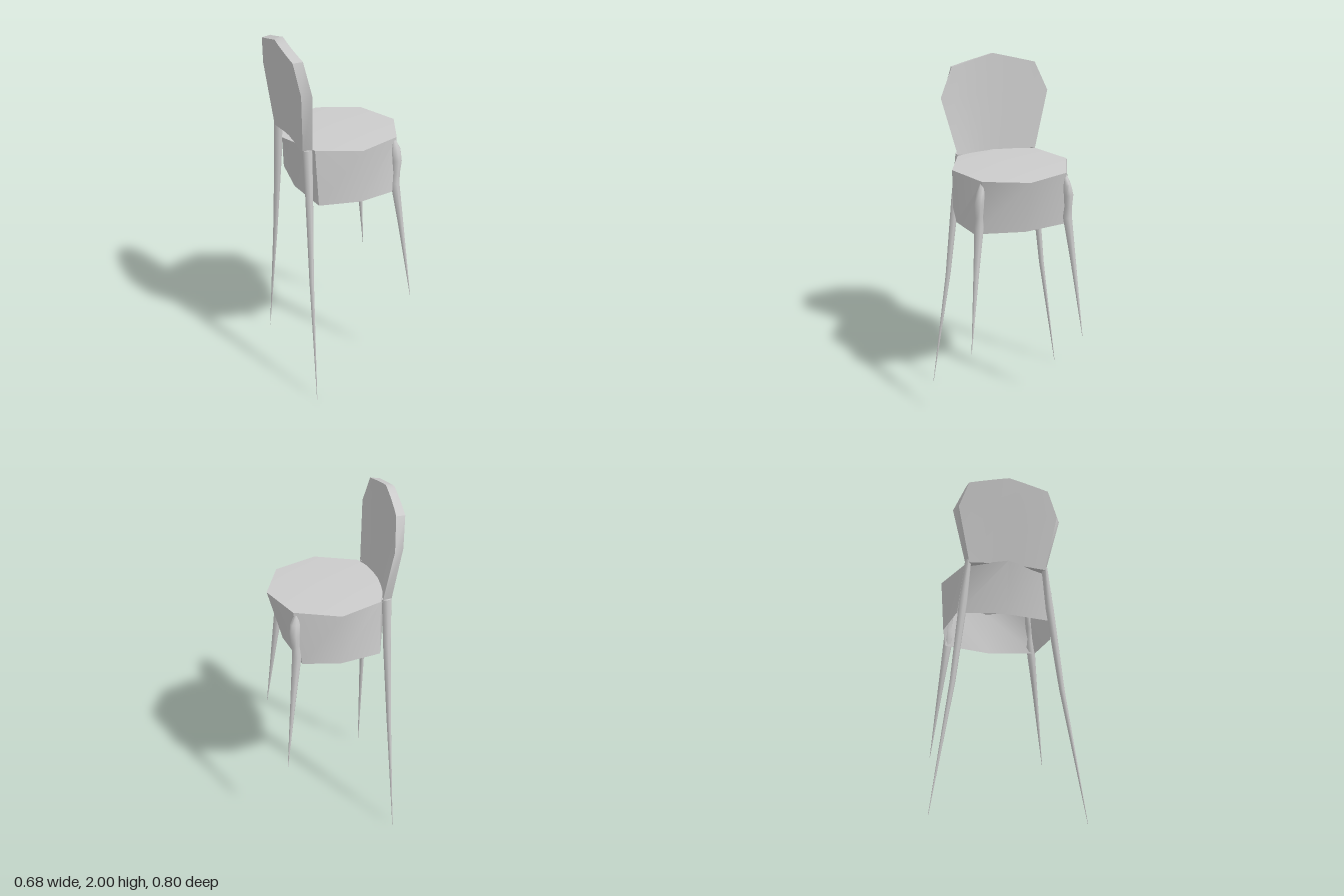
import * as THREE from 'three';
import { toCreasedNormals } from 'three/addons/utils/BufferGeometryUtils.js';

// Skin a stack of equal-sized rings, listed from bottom to top
function loft(rings, capped, crease) {
  const m = rings[0].length, index = [];
  for (let j = 0; j < rings.length - 1; j++) {
    for (let i = 0; i < m; i++) {
      const a = j * m + i, b = j * m + (i + 1) % m;
      index.push(a, a + m, b, b, a + m, b + m);
    }
  }
  if (capped) {
    // Close each end with a strip between opposite ring points
    const top = (rings.length - 1) * m;
    for (let i = 0; i < m / 2 - 1; i++) {
      const a = i, b = i + 1, c = m - 2 - i, d = m - 1 - i;
      index.push(a, b, c, a, c, d);
      index.push(top + a, top + c, top + b, top + a, top + d, top + c);
    }
  }
  const geometry = new THREE.BufferGeometry();
  geometry.setAttribute('position', new THREE.Float32BufferAttribute(rings.flat(2), 3));
  geometry.setIndex(index);
  return toCreasedNormals(geometry, crease);
}

// Round ring, used for the legs
function circle([x, y, z, rx, rz], side) {
  return Array.from({ length: 8 }, (_, i) => {
    const a = (i / 8) * Math.PI * 2;
    return [x + rx * Math.cos(a), y, side * z + rz * Math.sin(a)];
  });
}

// Octagon with separate radii for its ends, sides and diagonals
function octagon(y, back, front, side, diagBack, diagFront, diagZ) {
  return [
    [front, y, 0], [diagFront, y, diagZ], [0.01, y, side], [diagBack, y, diagZ],
    [back, y, 0], [diagBack, y, -diagZ], [0.01, y, -side], [diagFront, y, -diagZ],
  ];
}

// Curved row across the backrest
function row(w, yEdge, yMid, xEdge, xMid) {
  const n = 8;
  return Array.from({ length: n + 1 }, (_, i) => {
    const u = (i / n) * 2 - 1;
    return [xMid + (xEdge - xMid) * u * u, yMid + (yEdge - yMid) * Math.abs(u), w * u];
  });
}

export function createModel() {
  const group = new THREE.Group();
  const solid = new THREE.MeshStandardMaterial({ color: 0xcccccc });
  const thin = new THREE.MeshStandardMaterial({ color: 0xcccccc, side: THREE.DoubleSide });
  const add = (name, geometry, material = solid) => {
    const mesh = new THREE.Mesh(geometry, material);
    mesh.name = name;
    group.add(mesh);
  };

  // Seat: open skirt and a slightly domed top
  const rim = octagon(1.455, -0.315, 0.34, 0.328, -0.22, 0.245, 0.233);
  const hem = octagon(1.155, -0.25, 0.262, 0.31, -0.215, 0.21, 0.268);
  add('seatSkirt', loft([hem, rim], false, 0.8), thin);
  add('seatTop', loft([rim, rim.map(() => [0.01, 1.47, 0])], false, 0.8), thin);

  // Backrest: concave front, inset back
  const backRows = [
    [row(0.225, 1.44, 1.46, -0.23, -0.27), row(0.215, 1.44, 1.46, -0.28, -0.276)],
    [row(0.31, 1.78, 1.78, -0.26, -0.285), row(0.285, 1.78, 1.78, -0.31, -0.317)],
    [row(0.24, 1.94, 2.0, -0.28, -0.295), row(0.23, 1.935, 1.99, -0.33, -0.34)],
  ];
  add('backrest', loft(backRows.map(([f, b]) => [...f, ...b.reverse()]), true, 0.7));

  // Legs: x, y, z and radii, from the pointed foot upward
  const rearLeg = [
    [-0.29, 0, 0.4, 0.001, 0.001],
    [-0.272, 0.72, 0.293, 0.013, 0.015],
    [-0.259, 1.2, 0.242, 0.022, 0.023],
    [-0.255, 1.46, 0.218, 0.026, 0.017],
  ];
  const frontLeg = [
    [0.315, 0.5, 0.325, 0.001, 0.001],
    [0.264, 0.95, 0.277, 0.016, 0.016],
    [0.234, 1.2, 0.249, 0.026, 0.026],
    [0.239, 1.26, 0.25, 0.022, 0.022],
    [0.242, 1.33, 0.249, 0.028, 0.027],
    [0.237, 1.39, 0.24, 0.028, 0.022],
    [0.228, 1.44, 0.23, 0.012, 0.01],
  ];
  for (const [side, label] of [[1, 'Front'], [-1, 'Back']]) {
    add('rearLeg' + label, loft(rearLeg.map((s) => circle(s, side)), true, 1));
    add('frontLeg' + label, loft(frontLeg.map((s) => circle(s, side)), true, 1));
  }
  return group;
}
